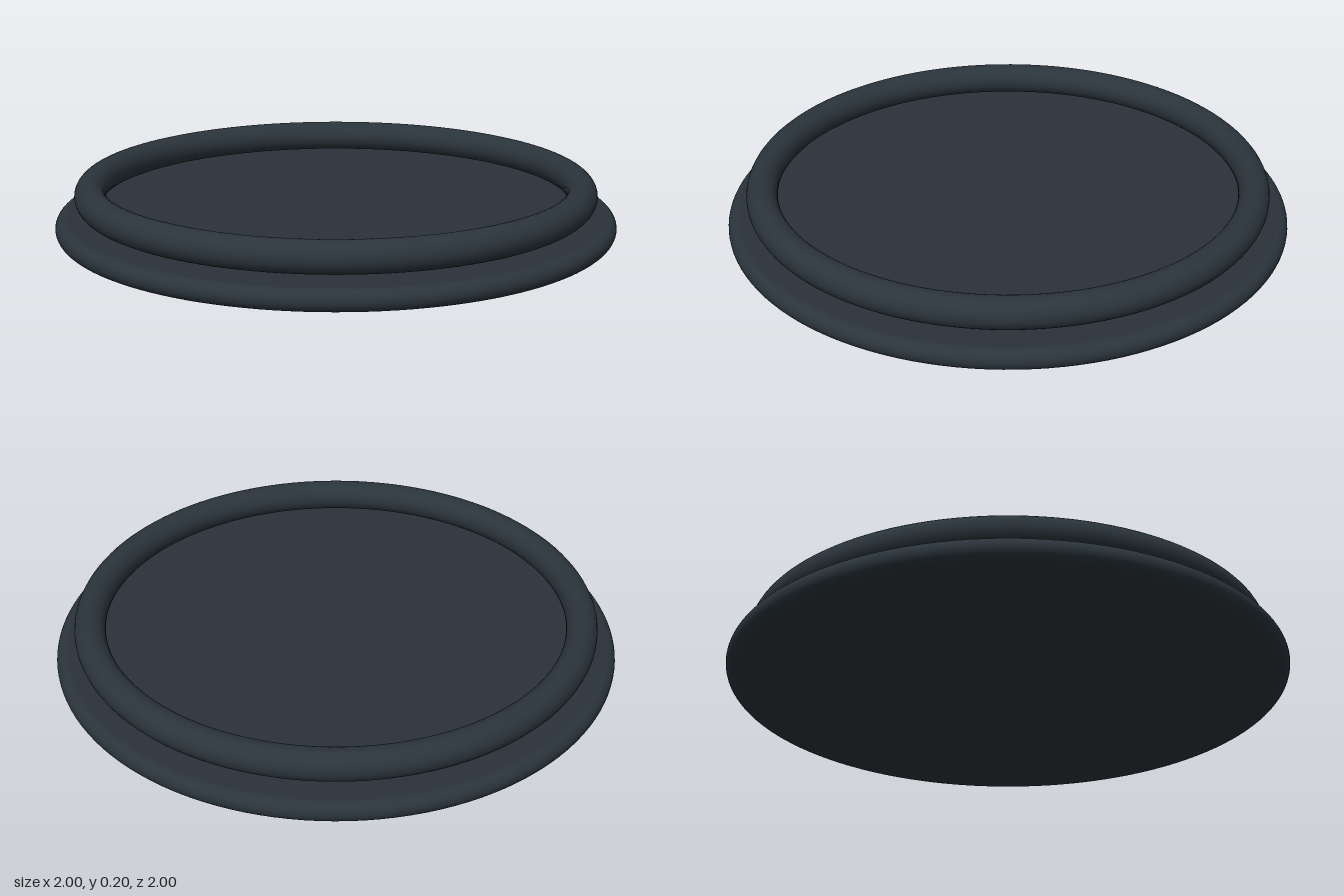
import * as THREE from 'three';

const BASE_TUBE = 0.0375;
const BASE_RADIUS = 1 - BASE_TUBE;
const RING_TUBE = 0.055;
const RING_RADIUS = 0.875;

export function createModel() {
  const model = new THREE.Group();
  const plateMaterial = new THREE.MeshStandardMaterial({ color: 0x2b3239 });
  plateMaterial.name = 'dark slate';
  const rimMaterial = new THREE.MeshStandardMaterial({ color: 0x2a343b });
  rimMaterial.name = 'blue slate';

  const add = (name, geometry, material, y) => {
    const mesh = new THREE.Mesh(geometry, material);
    mesh.name = name;
    mesh.position.y = y;
    model.add(mesh);
  };
  const ring = (radius, tube) =>
    new THREE.TorusGeometry(radius, tube, 32, 128).rotateX(-Math.PI / 2);

  // Flat round plate, with its edge rounded by a rim of the same thickness
  add('basePlate', new THREE.CylinderGeometry(BASE_RADIUS, BASE_RADIUS, BASE_TUBE * 2, 128), plateMaterial, BASE_TUBE);
  add('baseRim', ring(BASE_RADIUS, BASE_TUBE), rimMaterial, BASE_TUBE);

  // Thicker ring held just clear of the plate
  add('upperRing', ring(RING_RADIUS, RING_TUBE), rimMaterial, 0.148);

  return model;
}
